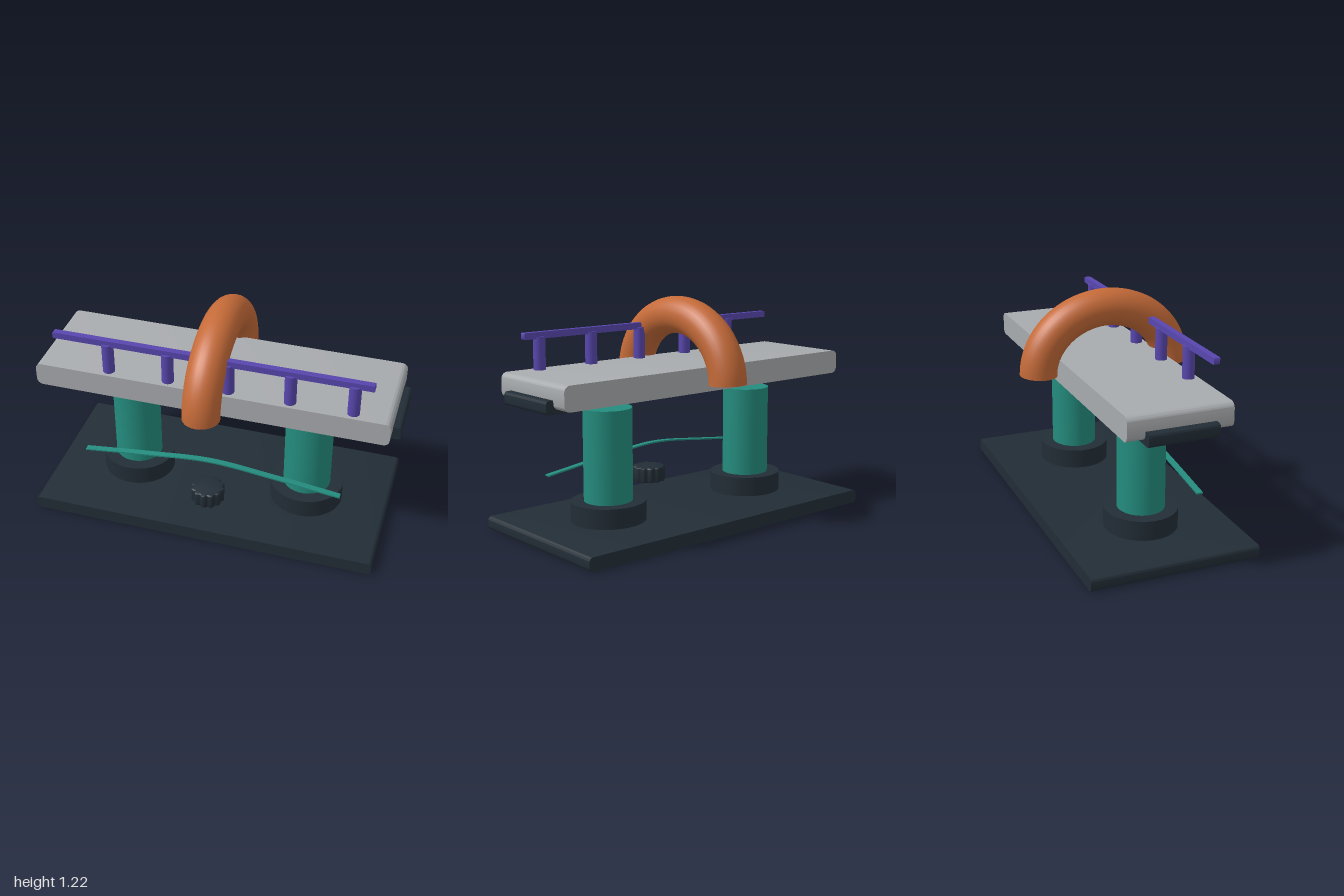
import * as THREE from 'three';
import { toCreasedNormals } from 'three/addons/utils/BufferGeometryUtils.js';

const flat = (name, color, side = THREE.FrontSide) => {
  const m = new THREE.MeshStandardMaterial({ color, side });
  m.name = name;
  return m;
};

export function createModel() {
  const model = new THREE.Group();
  const slate = flat('slate', 0x222d36);
  const teal = flat('teal', 0x248c7e);
  const grey = flat('grey', 0xa8abae);
  const copper = flat('copper', 0xc46a38, THREE.DoubleSide);
  const violet = flat('violet', 0x5846ae);

  const add = (name, geometry, material, x = 0, y = 0, z = 0) => {
    const mesh = new THREE.Mesh(geometry, material);
    mesh.name = name;
    mesh.position.set(x, y, z);
    model.add(mesh);
    return mesh;
  };

  // Slab whose front outline has rounded corners, straight along z
  const slab = (w, h, d, r) => {
    const s = new THREE.Shape();
    const a = w / 2 - r, b = h / 2 - r;
    s.absarc(a, b, r, 0, Math.PI / 2);
    s.absarc(-a, b, r, Math.PI / 2, Math.PI);
    s.absarc(-a, -b, r, Math.PI, Math.PI * 1.5);
    s.absarc(a, -b, r, Math.PI * 1.5, Math.PI * 2);
    const g = new THREE.ExtrudeGeometry(s, { depth: d, bevelEnabled: false, curveSegments: 6 });
    g.translate(0, 0, -d / 2);
    return toCreasedNormals(g, 0.6);
  };

  add('basePlate', slab(1.91, 0.073, 0.914, 0.022), slate, 0, 0.0365, 0);
  add('deck', slab(1.914, 0.13, 0.556, 0.034), grey, 0, 0.806, 0);

  // Columns with collars, slightly oval, and the pads under the deck ends
  for (const side of [-1, 1]) {
    const end = side < 0 ? 'right' : 'left';
    const collar = add(end + 'Collar', new THREE.CylinderGeometry(0.194, 0.194, 0.11, 48), slate, side * 0.497, 0.125, 0);
    const column = add(end + 'Column', new THREE.CylinderGeometry(0.126, 0.126, 0.5, 48), teal, side * 0.497, 0.425, 0);
    collar.scale.x = column.scale.x = 1.045;
    add(end + 'EndPad', slab(0.25, 0.07, 0.37, 0.018), slate, side * 0.875, 0.755, 0);
  }

  // Arch over the deck: open tube on a half ellipse
  const archPoints = [];
  for (let i = 0; i <= 32; i++) {
    const t = (i / 32) * Math.PI;
    archPoints.push(new THREE.Vector3(0, Math.sin(t) * 0.336, Math.cos(t) * 0.38));
  }
  const archPath = new THREE.CatmullRomCurve3(archPoints);
  add('arch', new THREE.TubeGeometry(archPath, 64, 0.1, 28, false), copper, 0, 0.785, 0);

  // Handrail
  const railZ = 0.228;
  add('rail', slab(1.71, 0.035, 0.034, 0.006), violet, 0, 1.05, railZ);
  for (let i = 0; i < 5; i++) {
    add('railPost', new THREE.CylinderGeometry(0.032, 0.032, 0.18, 20), violet, -0.555 + i * 0.328, 0.953, railZ);
  }

  // Thin bowed strip below the deck
  const bow = [[-0.725, 0.303], [-0.36, 0.347], [0, 0.38], [0.36, 0.347], [0.725, 0.303]];
  const bowLine = new THREE.SplineCurve(bow.map(([x, y]) => new THREE.Vector2(x, y))).getPoints(40);
  const half = 0.004;
  const strip = new THREE.Shape([
    ...bowLine.map(p => new THREE.Vector2(p.x, p.y - half)),
    ...bowLine.slice().reverse().map(p => new THREE.Vector2(p.x, p.y + half)),
  ]);
  const stripGeometry = new THREE.ExtrudeGeometry(strip, { depth: 0.034, bevelEnabled: false });
  add('bowedStrip', toCreasedNormals(stripGeometry, 0.6), teal, 0, 0, railZ - 0.017);

  // Fluted knob with softened rims
  const flutes = [];
  for (let i = 0; i < 120; i++) {
    const t = (i / 120) * Math.PI * 2;
    const r = 0.08 + 0.006 * Math.cos(t * 12);
    flutes.push(new THREE.Vector2(Math.cos(t) * r, Math.sin(t) * r));
  }
  const knob = new THREE.ExtrudeGeometry(new THREE.Shape(flutes), {
    depth: 0.069, bevelEnabled: true, bevelThickness: 0.008, bevelSize: 0.007, bevelSegments: 3,
  });
  knob.rotateX(-Math.PI / 2);
  add('knob', toCreasedNormals(knob, 0.7), slate, 0, 0.158, 0.274);

  return model;
}
